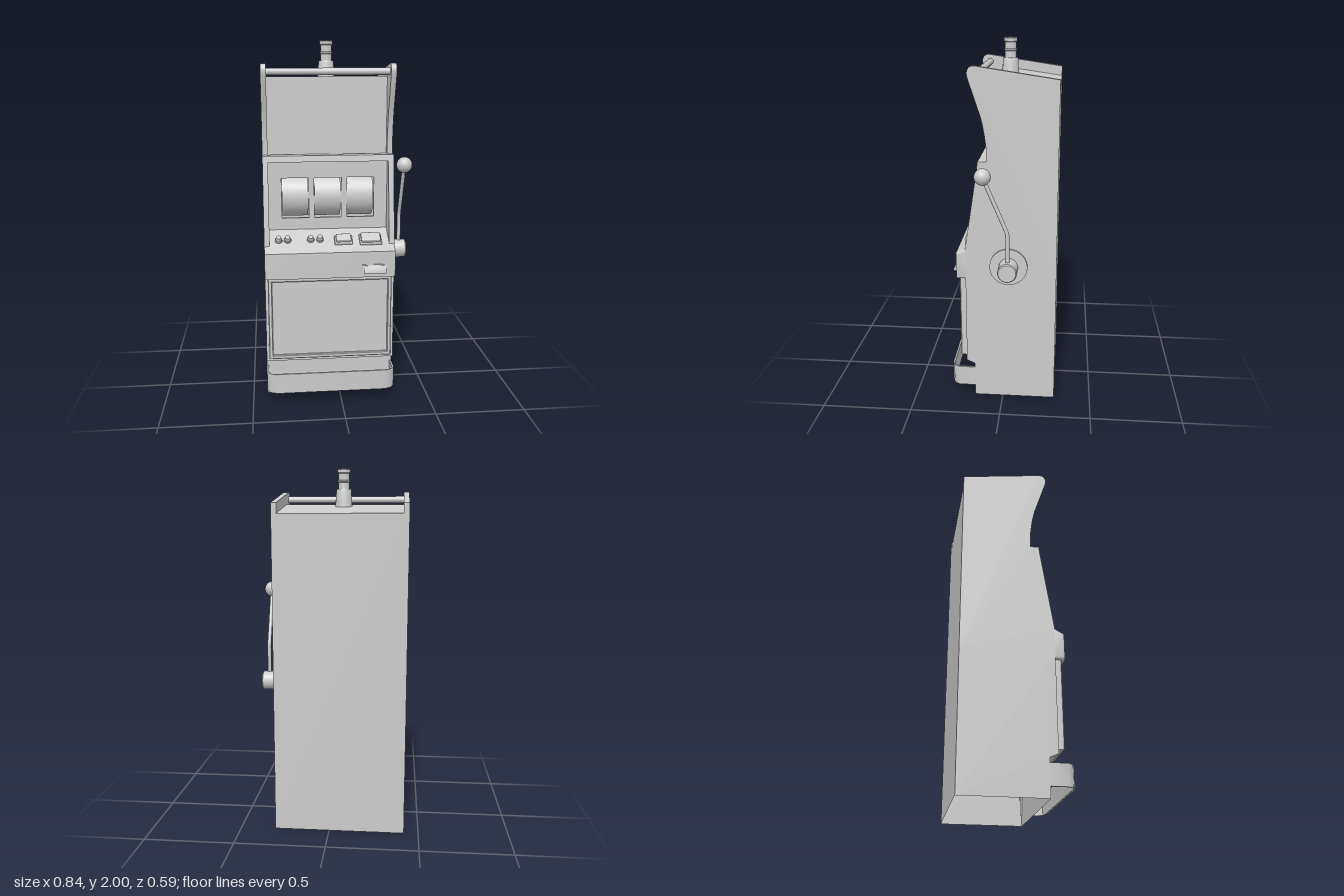
import * as THREE from 'three';
import { RoundedBoxGeometry } from 'three/addons/geometries/RoundedBoxGeometry.js';
import { toCreasedNormals } from 'three/addons/utils/BufferGeometryUtils.js';

const LEFT = 0.305, RIGHT = -0.42, MID = (LEFT + RIGHT) / 2, THICK = 0.03;
const TILT = Math.atan2(0.095, 0.16); // slope of the control deck

export function createModel() {
  const root = new THREE.Group();
  const mat = new THREE.MeshStandardMaterial({ color: 0xcccccc, side: THREE.DoubleSide });

  const add = (name, geo, x = 0, y = 0, z = 0, parent = root) => {
    const mesh = new THREE.Mesh(geo, mat);
    mesh.name = name;
    mesh.position.set(x, y, z);
    parent.add(mesh);
    return mesh;
  };
  const shapeOf = pts => new THREE.Shape(pts.map(p => new THREE.Vector2(...p)));
  const rectPath = (x0, y0, x1, y1, Type = THREE.Path) =>
    new Type([[x0, y0], [x1, y0], [x1, y1], [x0, y1]].map(p => new THREE.Vector2(...p)));
  // A (z, y) profile drawn out across x
  const across = (shape, x0, x1, bevel = 0) => {
    const geo = new THREE.ExtrudeGeometry(shape, {
      depth: x1 - x0 - 2 * bevel, bevelEnabled: bevel > 0, bevelSize: bevel,
      bevelThickness: bevel, bevelOffset: -bevel, bevelSegments: 3, curveSegments: 8,
    });
    return toCreasedNormals(geo.rotateY(-Math.PI / 2).translate(x1 - bevel, 0, 0), 0.6);
  };
  // A thin sheet that follows a (z, y) line across x
  const sheet = (pts, x0, x1) => {
    const pos = [];
    for (let i = 0; i < pts.length - 1; i++) {
      const [za, ya] = pts[i], [zb, yb] = pts[i + 1];
      pos.push(x0, ya, za, x1, ya, za, x1, yb, zb, x0, ya, za, x1, yb, zb, x0, yb, zb);
    }
    const geo = new THREE.BufferGeometry();
    geo.setAttribute('position', new THREE.Float32BufferAttribute(pos, 3));
    geo.computeVertexNormals();
    return geo;
  };

  // Cabinet shell, open underneath
  add('frontSkin', sheet([[0.16, 0], [0.16, 0.2], [0.205, 0.22], [0.205, 0.78]], RIGHT, LEFT));
  add('backPanel', sheet([[-0.295, 1.76], [-0.295, 0]], RIGHT, LEFT));
  add('topBoard', sheet([[0.055, 1.81], [-0.295, 1.76]], RIGHT + THICK, LEFT - THICK));
  add('upperPanel', sheet([[0.055, 1.3], [0.055, 1.81]], RIGHT + THICK, LEFT - THICK));

  // Side panels: thin below, thick where their edges show
  const lower = shapeOf([[-0.295, 0], [0.16, 0], [0.16, 0.2], [0.205, 0.22], [0.205, 0.75], [-0.295, 0.75]]);
  const upper = new THREE.Shape();
  upper.moveTo(-0.295, 0.75);
  upper.lineTo(0.205, 0.75);
  upper.lineTo(0.205, 0.9);
  upper.lineTo(0.13, 1.385);
  upper.lineTo(0.085, 1.385);
  upper.lineTo(0.085, 1.46);
  upper.quadraticCurveTo(0.1, 1.6, 0.125, 1.66);
  upper.lineTo(0.178, 1.82);
  upper.bezierCurveTo(0.19, 1.86, 0.17, 1.885, 0.14, 1.88);
  upper.lineTo(-0.295, 1.815);
  for (const [side, x0, edge] of [['right', RIGHT, RIGHT], ['left', LEFT - THICK, LEFT]]) {
    add(side + 'LowerSide', new THREE.ShapeGeometry(lower).rotateY(-Math.PI / 2), edge);
    add(side + 'UpperSide', across(upper, x0, x0 + THICK));
  }
  const rod = (r, len, n = 16) => new THREE.CylinderGeometry(r, r, len, n).rotateZ(Math.PI / 2);
  add('topRail', rod(0.019, LEFT - RIGHT - THICK), MID, 1.838, 0.135);

  // Reel window: panel with three openings, and a bar above
  const panel = rectPath(RIGHT + THICK, 0.93, LEFT - THICK, 1.37, THREE.Shape);
  const reels = [-0.242, -0.059, 0.125];
  reels.forEach(x => panel.holes.push(rectPath(x - 0.076, 1.03, x + 0.076, 1.257)));
  add('reelPanel', new THREE.ExtrudeGeometry(panel, { depth: 0.015, bevelEnabled: false }), 0, 0, 0.077);
  reels.forEach(x => add('reel', rod(0.125, 0.148, 40), x, 1.143, -0.035));
  add('windowTopBar', across(shapeOf([[0.075, 1.352], [0.136, 1.352], [0.131, 1.387], [0.075, 1.387]]), RIGHT, LEFT));

  // Control deck: sloped top and a rounded nose
  add('deckSlope', across(shapeOf([[0.085, 0.93], [0.085, 0.968], [0.21, 0.894], [0.21, 0.85]]),
    RIGHT + THICK, LEFT - THICK));
  add('deckNose', across(shapeOf([[0.19, 0.722], [0.258, 0.722], [0.258, 0.868], [0.19, 0.906]]), RIGHT, LEFT, 0.012));

  const deckItem = (name, x, z) => {
    const group = new THREE.Group();
    group.name = name;
    group.position.set(x, 0.965 - (z - 0.09) * Math.tan(TILT), z);
    group.rotation.x = TILT;
    root.add(group);
    return group;
  };
  [-0.34, -0.29, -0.162, -0.11].forEach(x => {
    const g = deckItem('roundButton', x, 0.168);
    add('buttonCollar', new THREE.CylinderGeometry(0.02, 0.021, 0.014, 16), 0, 0.004, 0, g);
    add('buttonCap', new THREE.CylinderGeometry(0.014, 0.018, 0.018, 16), 0, 0.019, 0, g);
  });
  [[0.02, 0.1, 0.065], [0.172, 0.124, 0.078]].forEach(([x, w, d]) => {
    const g = deckItem('largeButton', x, 0.177);
    add('buttonFrame', new RoundedBoxGeometry(w, 0.02, d, 2, 0.006), 0, 0.004, 0, g);
    add('buttonCap', new RoundedBoxGeometry(w - 0.016, 0.032, d - 0.014, 2, 0.008), 0, 0.018, 0, g);
  });

  // Note slot on the nose
  add('noteSlotPlate', new THREE.BoxGeometry(0.145, 0.055, 0.01), 0.188, 0.768, 0.258);
  add('noteSlotLip', across(shapeOf([[0.255, 0.745], [0.28, 0.747], [0.28, 0.757], [0.265, 0.79], [0.255, 0.79]]), 0.125, 0.25));

  // Lower door
  const frame = rectPath(-0.405, 0.245, 0.287, 0.722, THREE.Shape);
  frame.holes.push(rectPath(-0.382, 0.268, 0.265, 0.7));
  add('doorFrame', new THREE.ExtrudeGeometry(frame, {
    depth: 0.03, bevelEnabled: true, bevelSize: 0.004, bevelOffset: -0.004, bevelThickness: 0.004, bevelSegments: 1,
  }), 0, 0, 0.206);
  add('doorPanel', new THREE.BoxGeometry(0.655, 0.44, 0.022), MID, 0.484, 0.216);

  // Coin tray: a bent band with no floor
  const half = (LEFT - RIGHT) / 2;
  const bend = inset => [[half - inset, 0.15], [half - inset, 0.25], [half - 0.017 - inset * 0.8, 0.277],
    [half - 0.055 - inset * 0.4, 0.293 - inset]];
  const loop = inset => [...bend(inset), ...bend(inset).reverse().map(([x, z]) => [-x, z])];
  const band = shapeOf([...loop(0), ...loop(0.01).reverse()].map(([x, z]) => [x, -z]));
  add('coinTray', toCreasedNormals(new THREE.ExtrudeGeometry(band, { depth: 0.115, bevelEnabled: false })
    .rotateX(-Math.PI / 2), 0.8), MID, 0.06, 0);

  // Pull lever
  const lever = new THREE.Group();
  lever.name = 'lever';
  lever.position.set(LEFT, 0.803, -0.033);
  root.add(lever);
  add('leverPlate', rod(0.104, 0.012, 40), 0.005, 0, 0, lever);
  const hub = [[0, 0], [0.053, 0], [0.053, 0.1], [0.048, 0.106], [0, 0.106]].map(p => new THREE.Vector2(...p));
  add('leverHub', toCreasedNormals(new THREE.LatheGeometry(hub, 24).rotateZ(-Math.PI / 2), 0.5), 0, 0, 0, lever);
  const arm = new THREE.CurvePath();
  const v = (y, z) => new THREE.Vector3(0.067, y, z);
  arm.add(new THREE.LineCurve3(v(0, 0), v(0.19, 0)));
  arm.add(new THREE.QuadraticBezierCurve3(v(0.19, 0), v(0.212, 0), v(0.23, 0.008)));
  arm.add(new THREE.LineCurve3(v(0.23, 0.008), v(0.52, 0.131)));
  add('leverArm', new THREE.TubeGeometry(arm, 40, 0.011, 10), 0, 0, 0, lever);
  add('leverKnob', new THREE.SphereGeometry(0.045, 14, 10), 0.067, 0.52, 0.131, lever);

  // Signal lamp on the roof
  const lamp = [[0, 1.77], [0.049, 1.77], [0.042, 1.885], [0.038, 1.893], [0.031, 1.893], [0.031, 1.928],
    [0.034, 1.931], [0.034, 1.938], [0.031, 1.941], [0.031, 1.975], [0.036, 1.98], [0.036, 1.997], [0.033, 2], [0, 2]];
  add('signalLamp', toCreasedNormals(
    new THREE.LatheGeometry(lamp.map(p => new THREE.Vector2(...p)), 16), 0.5), MID, 0, -0.014);

  return root;
}
